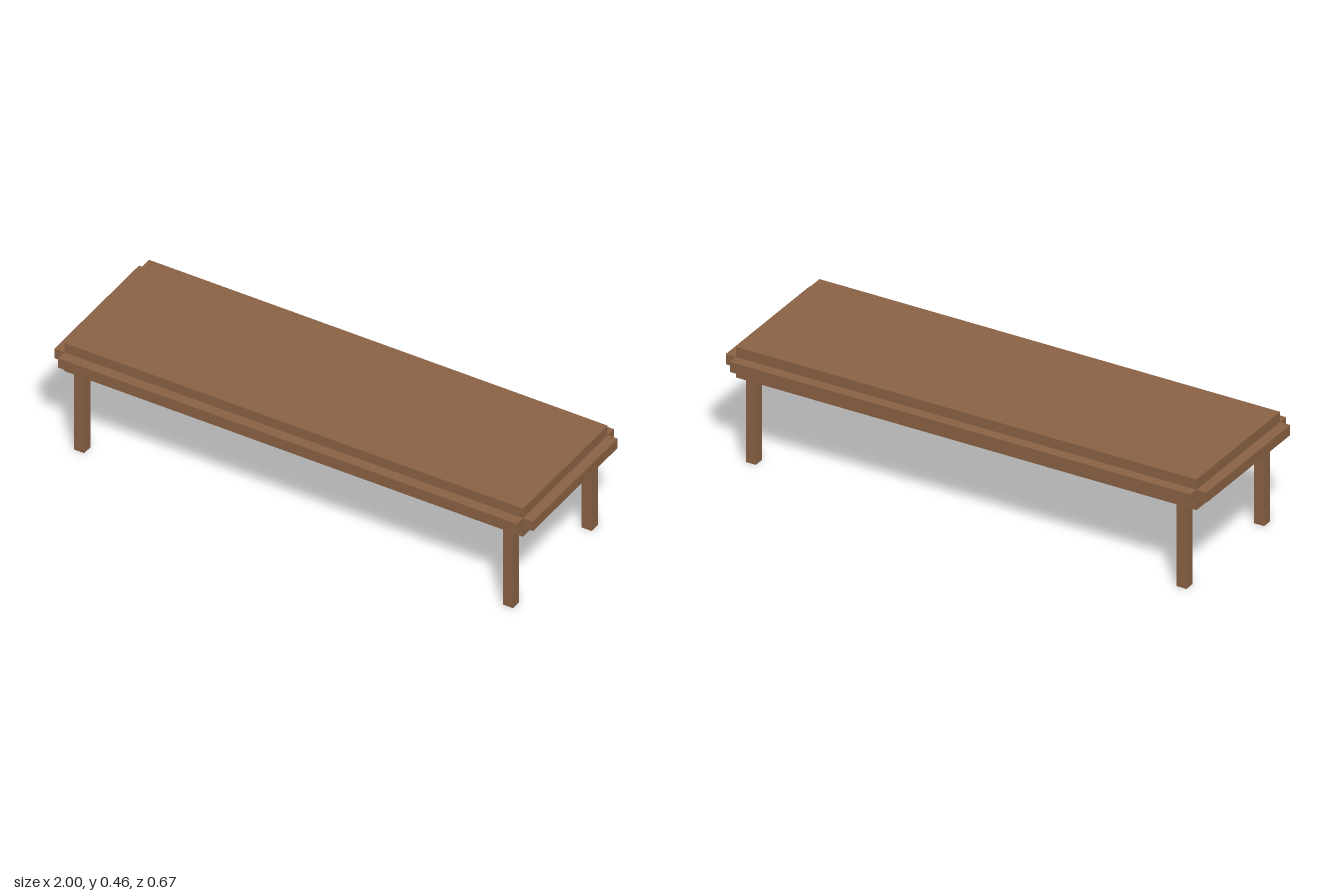
import * as THREE from 'three';

const U = 1 / 24; // the thickness shared by legs and rails

export function createModel() {
  const model = new THREE.Group();
  model.name = 'lowTable';
  const wood = new THREE.MeshStandardMaterial({ color: 0x8b6346 });
  wood.name = 'brown wood';

  // Adds a box whose underside sits at y; all measures are in units of U
  const addBox = (name, w, h, d, x, y, z) => {
    const mesh = new THREE.Mesh(new THREE.BoxGeometry(w * U, h * U, d * U), wood);
    mesh.name = name;
    mesh.position.set(x * U, (y + h / 2) * U, z * U);
    model.add(mesh);
  };

  // Thick slab top
  addBox('tableTop', 46, 3, 14, 0, 8, 0);

  for (const s of [1, -1]) {
    // Rails around the middle of the slab, open at the corners
    addBox(s > 0 ? 'frontRail' : 'backRail', 46, 1, 1, 0, 9, s * 7.5);
    addBox(s > 0 ? 'leftRail' : 'rightRail', 1, 1, 14, s * 23.5, 9, 0);

    // Square legs, flush with the front and back of the slab
    for (const t of [1, -1]) {
      const name = (t > 0 ? 'front' : 'back') + (s > 0 ? 'Left' : 'Right') + 'Leg';
      addBox(name, 1, 8, 1, s * 21.5, 0, t * 6.5);
    }
  }
  return model;
}
